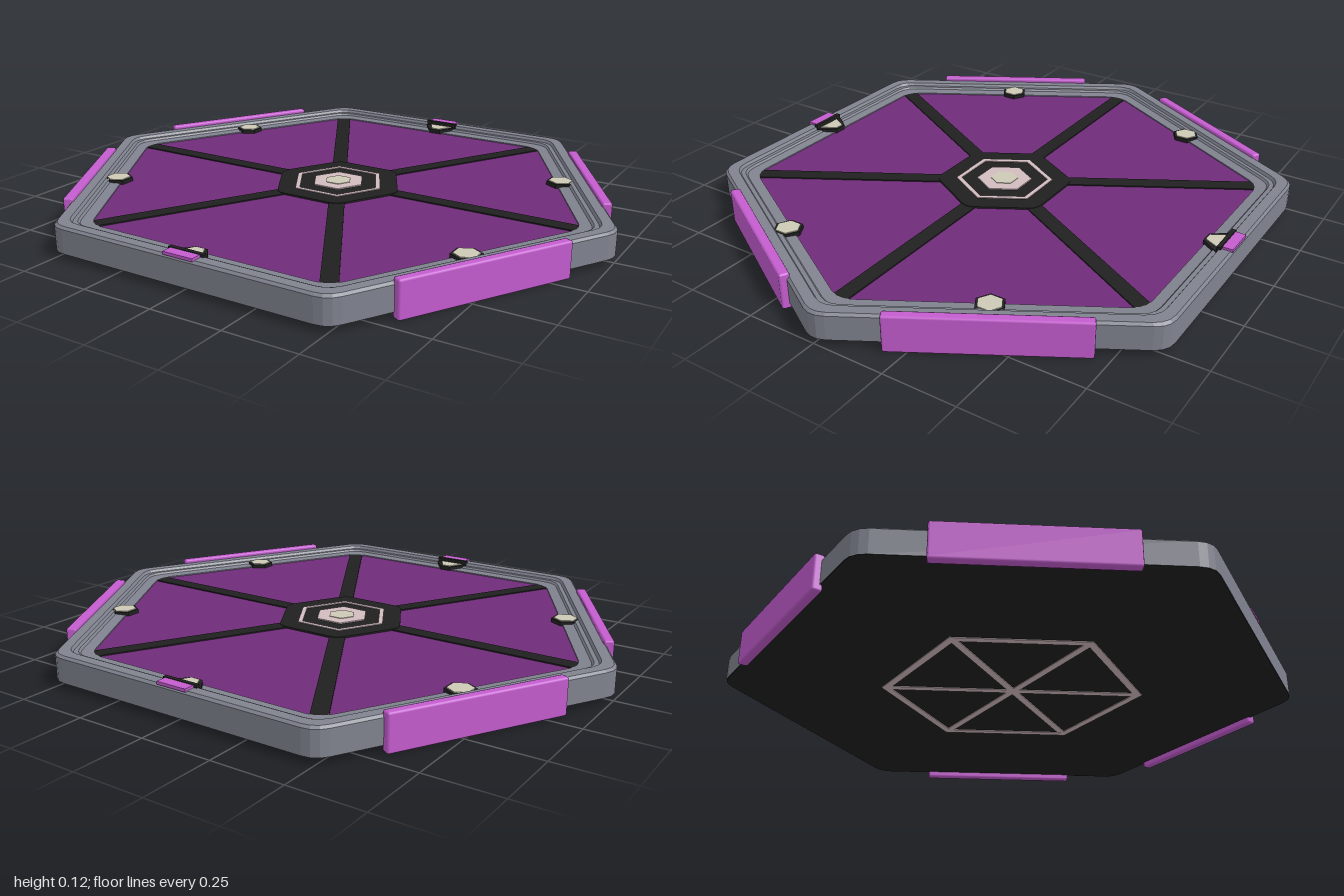
import * as THREE from 'three';
import { RoundedBoxGeometry } from 'three/addons/geometries/RoundedBoxGeometry.js';

const mat = (name, color, opts = {}) => new THREE.MeshStandardMaterial({ name, color, ...opts });
const COS30 = Math.cos(Math.PI / 6);

// Hexagon outline with corners on the x axis; cut rounds the corners off.
function hexPoints(apothem, cut = 0) {
  const r = apothem / COS30;
  const corner = (k) => new THREE.Vector2(Math.cos(k * Math.PI / 3), Math.sin(k * Math.PI / 3)).multiplyScalar(r);
  const pts = [];
  for (let k = 0; k < 6; k++) {
    const c = corner(k);
    if (!cut) { pts.push(c); continue; }
    const a = c.clone().lerp(corner(k - 1), cut / r);
    const b = c.clone().lerp(corner(k + 1), cut / r);
    pts.push(...new THREE.QuadraticBezierCurve(a, c, b).getPoints(3));
  }
  return pts;
}

// Flat slab between two heights, from an outline and an optional hole.
function slab(outline, y0, y1, hole) {
  const shape = new THREE.Shape(outline);
  if (hole) shape.holes.push(new THREE.Path(hole));
  const g = new THREE.ExtrudeGeometry(shape, { depth: y1 - y0, bevelEnabled: false });
  return g.rotateX(-Math.PI / 2).translate(0, y0, 0);
}

// Skin through rounded hexagon loops given as [apothem, y].
function hexLoft(profile, cut) {
  const loops = profile.map(([a, y]) => hexPoints(a, cut).map((p) => [p.x, y, p.y]));
  const pos = [];
  for (let i = 0; i < loops.length - 1; i++) {
    const n = loops[i].length;
    for (let j = 0; j < n; j++) {
      const k = (j + 1) % n;
      const a = loops[i][j], b = loops[i][k], c = loops[i + 1][j], d = loops[i + 1][k];
      pos.push(...a, ...c, ...b, ...b, ...c, ...d);
    }
  }
  const g = new THREE.BufferGeometry();
  g.setAttribute('position', new THREE.Float32BufferAttribute(pos, 3));
  g.computeVertexNormals();
  return g;
}

export function createModel() {
  const model = new THREE.Group();
  model.name = 'hexagonalPanel';
  const grey = mat('rimGrey', 0x80838f, { flatShading: true, side: THREE.DoubleSide });
  const black = mat('frameBlack', 0x202020);
  const purple = mat('panelPurple', 0x702c7a);
  const magenta = mat('plateMagenta', 0xc45ccf);
  const cream = mat('markerCream', 0xcdcab6);
  const pink = mat('trimPink', 0xd2bcc0);

  const add = (name, geometry, material, parent = model) => {
    const m = new THREE.Mesh(geometry, material);
    m.name = name;
    parent.add(m);
    return m;
  };

  // Stepped rim, black underside and purple field
  add('rim', hexLoft([
    [0.875, 0.02], [0.875, 0.102], [0.867, 0.11], [0.832, 0.11], [0.826, 0.1],
    [0.812, 0.1], [0.806, 0.093], [0.77, 0.09], [0.77, 0.08],
  ], 0.045), grey);
  add('underside', slab(hexPoints(0.873, 0.045), 0.02, 0.03), black);
  add('panelField', slab(hexPoints(0.774, 0.02), 0.03, 0.086), purple);

  // Spokes towards the six corners, above and below
  for (let k = 0; k < 6; k++) {
    const spoke = new THREE.Group();
    spoke.name = 'spoke';
    spoke.rotation.y = k * Math.PI / 3;
    model.add(spoke);
    add('topSpoke', new THREE.BoxGeometry(0.68, 0.006, 0.054).translate(0.54, 0.087, 0), black, spoke);
    add('bottomSpoke', new THREE.BoxGeometry(0.44, 0.006, 0.026).translate(0.22, 0.02, 0), pink, spoke);
  }
  add('bottomRing', slab(hexPoints(0.4), 0.0168, 0.021, hexPoints(0.374)), pink);

  // Central hub
  add('hub', slab(hexPoints(0.208, 0.03), 0.08, 0.092), black);
  add('hubRing', slab(hexPoints(0.147), 0.09, 0.0945, hexPoints(0.132)), pink);
  add('hubCap', slab(hexPoints(0.083), 0.09, 0.096), pink);
  add('hubDot', slab(hexPoints(0.042), 0.09, 0.098), cream);

  // Side fittings: long plates on the four slanted sides, clips on the front and back
  for (let k = 0; k < 6; k++) {
    const side = new THREE.Group();
    side.name = 'side';
    side.rotation.y = Math.PI / 6 + k * Math.PI / 3;
    model.add(side);
    if (k % 3 === 1) {
      add('clip', new THREE.BoxGeometry(0.035, 0.01, 0.11).translate(0.857, 0.113, 0), magenta, side);
      add('clipNotch', new THREE.BoxGeometry(0.014, 0.026, 0.13).translate(0.831, 0.106, 0), black, side);
      const wedge = (s) => [[0.83, -0.055 * s], [0.83, 0.055 * s], [0.77, 0.018 * s], [0.77, -0.018 * s]]
        .map(([x, y]) => new THREE.Vector2(x, y));
      add('markerEdge', slab(wedge(1.25), 0.085, 0.102).translate(-0.006, 0, 0), black, side);
      add('marker', slab(wedge(0.9), 0.1, 0.105), cream, side);
    } else {
      add('sidePlate', new RoundedBoxGeometry(0.034, 0.123, 0.6, 1, 0.007).translate(0.881, 0.0615, 0), magenta, side);
      add('markerEdge', slab(hexPoints(0.043), 0.085, 0.1).translate(0.784, 0, 0), black, side);
      add('marker', slab(hexPoints(0.036), 0.098, 0.103).translate(0.784, 0, 0), cream, side);
    }
  }
  return model;
}
